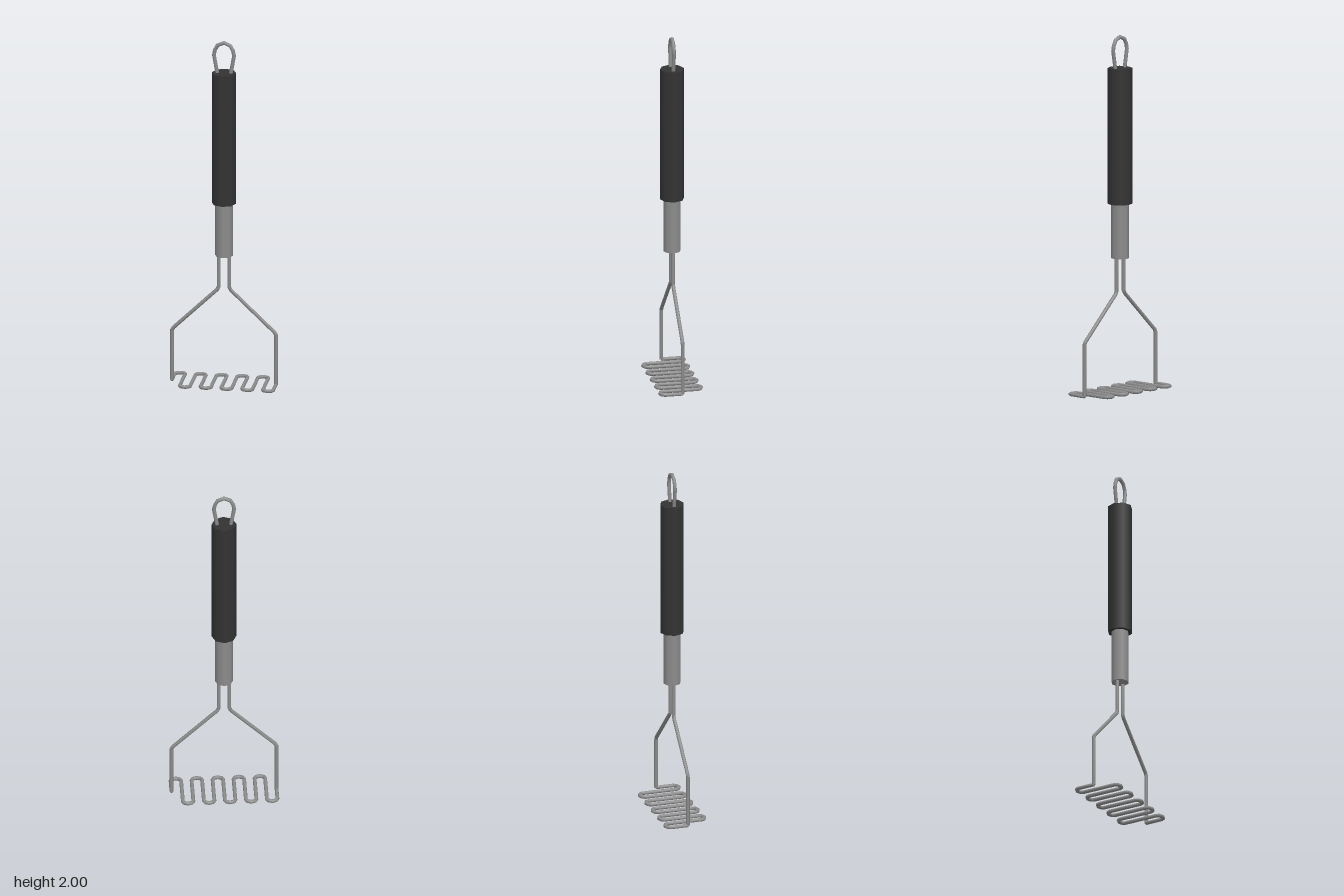
import * as THREE from 'three';

const WIRE = 0.0105;

// Round wire swept along a flat polyline with mitred bends; normal = plane normal
function wireGeometry(points, normal, radius = WIRE, sides = 8) {
  const pos = [], idx = [], n = points.length;
  const dir = (a, b) => points[b].clone().sub(points[a]).normalize();
  points.forEach((p, i) => {
    const before = dir(Math.max(i - 1, 0), Math.max(i, 1));
    const after = dir(Math.min(i, n - 2), Math.min(i + 1, n - 1));
    const tangent = before.clone().add(after).normalize();
    const side = normal.clone().cross(tangent).divideScalar(tangent.dot(after));
    for (let j = 0; j < sides; j++) {
      const a = (j / sides) * Math.PI * 2;
      const v = p.clone()
        .addScaledVector(side, Math.cos(a) * radius)
        .addScaledVector(normal, Math.sin(a) * radius);
      pos.push(v.x, v.y, v.z);
    }
  });
  for (let i = 0; i < n - 1; i++) {
    for (let j = 0; j < sides; j++) {
      const k = (j + 1) % sides;
      const a = i * sides + j, b = i * sides + k;
      idx.push(a, b, b + sides, a, b + sides, a + sides);
    }
  }
  // End caps
  const last = (n - 1) * sides;
  for (let j = 1; j < sides - 1; j++) {
    idx.push(0, j + 1, j, last, last + j, last + j + 1);
  }
  const g = new THREE.BufferGeometry();
  g.setAttribute('position', new THREE.Float32BufferAttribute(pos, 3));
  g.setIndex(idx);
  g.computeVertexNormals();
  return g;
}

export function createModel() {
  const group = new THREE.Group();
  const steel = new THREE.MeshStandardMaterial({ color: 0x8c8c8c });
  steel.name = 'steel';
  const black = new THREE.MeshStandardMaterial({ color: 0x333333 });
  black.name = 'black grip';

  const add = (name, geometry, material) => {
    const mesh = new THREE.Mesh(geometry, material);
    mesh.name = name;
    group.add(mesh);
  };
  const Z = new THREE.Vector3(0, 0, 1), Y = new THREE.Vector3(0, 1, 0);
  const upright = (pts) => pts.map(([x, y]) => new THREE.Vector3(x, y, 0));

  // Eight-sided handle: grip above, metal ferrule below
  const rod = (radius, y0, y1) =>
    new THREE.CylinderGeometry(radius, radius, y1 - y0, 8).translate(0, (y0 + y1) / 2, 0);
  add('grip', rod(0.068, 1.055, 1.815), black);
  add('ferrule', rod(0.049, 0.75, 1.06), steel);

  // Hanging loop
  const half = [[-0.034, 1.79], [-0.056, 1.915], [-0.051, 1.944], [-0.036, 1.973]];
  const mirrored = half.map(([x, y]) => [-x, y]).reverse();
  add('hangingLoop', wireGeometry(upright([...half, [0, 1.989], ...mirrored]), Z), steel);

  // Two bent struts from the ferrule to the head
  for (const s of [1, -1]) {
    const strut = [[0.029, 0.78], [0.029, 0.568], [0.038, 0.55], [0.282, 0.316], [0.29, 0.3], [0.29, 0.012]];
    add(s > 0 ? 'leftStrut' : 'rightStrut',
      wireGeometry(upright(strut.map(([x, y]) => [x * s, y])), Z), steel);
  }

  // Serpentine mashing head: ten alternating bends between the struts
  const pitch = 0.058, y = 0.012;
  const path = [new THREE.Vector3(-0.29, y, 0)];
  for (let i = 0; i < 10; i++) {
    const s = i % 2 ? 1 : -1;
    const cx = -0.29 + (i + 0.5) * pitch;
    for (const [dx, z] of [[-0.029, 0.098], [-0.021, 0.113], [0, 0.121], [0.021, 0.113], [0.029, 0.098]]) {
      path.push(new THREE.Vector3(cx + dx, y, z * s));
    }
  }
  path.push(new THREE.Vector3(0.29, y, 0));
  add('mashingHead', wireGeometry(path, Y), steel);

  return group;
}
